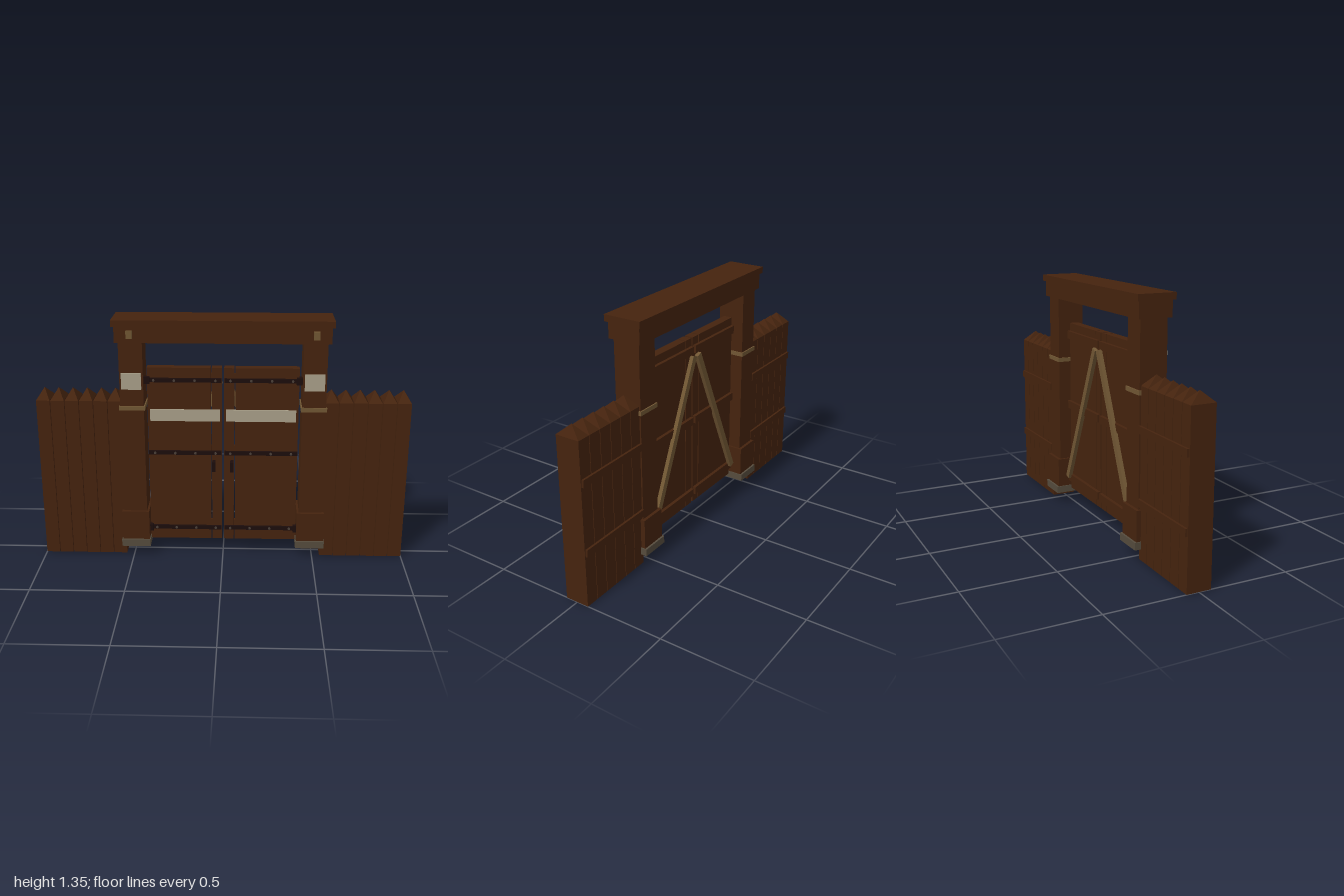
import * as THREE from 'three';

const mat = (name, color) => {
  const m = new THREE.MeshStandardMaterial({ color });
  m.name = name;
  return m;
};

export function createModel() {
  const wood = mat('dark wood', 0x45230e);
  const tan = mat('tan wood', 0x705633);
  const stone = mat('stone', 0x554b3c);
  const iron = mat('iron', 0x1c0d0b);
  const stud = mat('stud metal', 0x4a3f38);
  const pale = mat('pale board', 0xa89f88);

  const gate = new THREE.Group();
  gate.name = 'gate';

  // Box given by its limits on each axis
  const box = (parent, name, m, x0, x1, y0, y1, z0, z1) => {
    const mesh = new THREE.Mesh(new THREE.BoxGeometry(Math.abs(x1 - x0), y1 - y0, z1 - z0), m);
    mesh.position.set((x0 + x1) / 2, (y0 + y1) / 2, (z0 + z1) / 2);
    mesh.name = name;
    parent.add(mesh);
    return mesh;
  };
  const group = (name) => {
    const g = new THREE.Group();
    g.name = name;
    gate.add(g);
    return g;
  };

  // Four-sided point for the fence planks
  const plankW = 0.073, plankD = 0.134, pitch = 0.0768;
  const tipGeo = new THREE.ConeGeometry(Math.SQRT1_2, 0.057, 4, 1, true).toNonIndexed();
  tipGeo.rotateY(Math.PI / 4);
  tipGeo.scale(plankW, 1, plankD);
  tipGeo.computeVertexNormals();

  for (const s of [-1, 1]) {
    const side = s > 0 ? 'left' : 'right';

    // Post with base, footing, band and plate
    const post = group(side + 'Post');
    const c = s * 0.484;
    const around = (name, m, h, y0, y1, d) => box(post, name, m, c - h, c + h, y0, y1, -d, d);
    around('postShaft', wood, 0.063, 0.058, 1.225, 0.075);
    around('postBase', wood, 0.075, 0.1, 0.267, 0.092);
    around('postFooting', stone, 0.08, 0.06, 0.1, 0.103);
    around('postBand', tan, 0.069, 0.854, 0.877, 0.082);
    box(post, 'postPlate', pale, c - 0.053, c + 0.053, 0.97, 1.06, 0.075, 0.082);
    box(post, 'beamPeg', tan, c - 0.016, c + 0.016, 1.25, 1.292, 0.09, 0.109);

    // Fence wing
    const fence = group(side + 'Fence');
    for (let i = 0; i < 6; i++) {
      const x = s * (1 - plankW / 2 - i * pitch);
      box(fence, 'fencePlank', wood, x - plankW / 2, x + plankW / 2, 0, 0.9, -plankD / 2, plankD / 2);
      const tip = new THREE.Mesh(tipGeo, wood);
      tip.position.set(x, 0.9285, 0);
      tip.name = 'plankPoint';
      fence.add(tip);
    }
    for (const y of [0.305, 0.682])
      box(fence, 'fenceRail', wood, s * 0.545, s * 0.995, y - 0.02, y + 0.02, -0.079, -0.066);

    // Door leaf
    const door = group(side + 'Door');
    box(door, 'wideDoorBoard', wood, s * 0.405, s * 0.066, 0.083, 1.08, -0.012, 0.038);
    box(door, 'narrowDoorBoard', wood, s * 0.06, s * 0.006, 0.083, 1.08, -0.012, 0.038);
    box(door, 'doorPlate', pale, s * 0.392, s * 0.016, 0.785, 0.85, 0.038, 0.047);

    // Iron straps with studs in front, wooden rails behind
    for (const y of [0.155, 0.603, 1.014]) {
      box(door, 'doorStrap', iron, s * 0.405, s * 0.008, y - 0.011, y + 0.011, 0.038, 0.05);
      box(door, 'doorRail', wood, s * 0.4, s * 0.01, y - 0.022, y + 0.022, -0.03, -0.012);
      for (let i = 0; i < 4; i++) {
        const knob = new THREE.Mesh(new THREE.CylinderGeometry(0.007, 0.007, 0.008, 8), stud);
        knob.rotation.x = Math.PI / 2;
        knob.position.set(s * (0.04 + i * 0.11), y, 0.052);
        knob.name = 'strapStud';
        door.add(knob);
      }
      if (y !== 0.603)
        box(door, 'hinge', iron, s * 0.422, s * 0.39, y - 0.019, y + 0.019, 0.025, 0.058);
    }
    box(door, 'doorHandle', iron, s * 0.058, s * 0.04, 0.505, 0.56, 0.038, 0.081);

    // Diagonal brace on the back
    const dx = -0.365, dy = 0.825;
    const brace = box(door, 'doorBrace', tan, -0.017, 0.017, 0, Math.hypot(dx, dy), -0.046, -0.024);
    brace.position.set(s * 0.203, 0.575, -0.036);
    brace.rotation.z = -Math.atan2(s * dx, dy);
  }

  // Lintel and its cap
  const top = group('lintel');
  box(top, 'lintelBeam', wood, -0.564, 0.564, 1.225, 1.312, -0.092, 0.092);
  box(top, 'lintelCap', wood, -0.577, 0.577, 1.312, 1.347, -0.105, 0.105);

  return gate;
}
